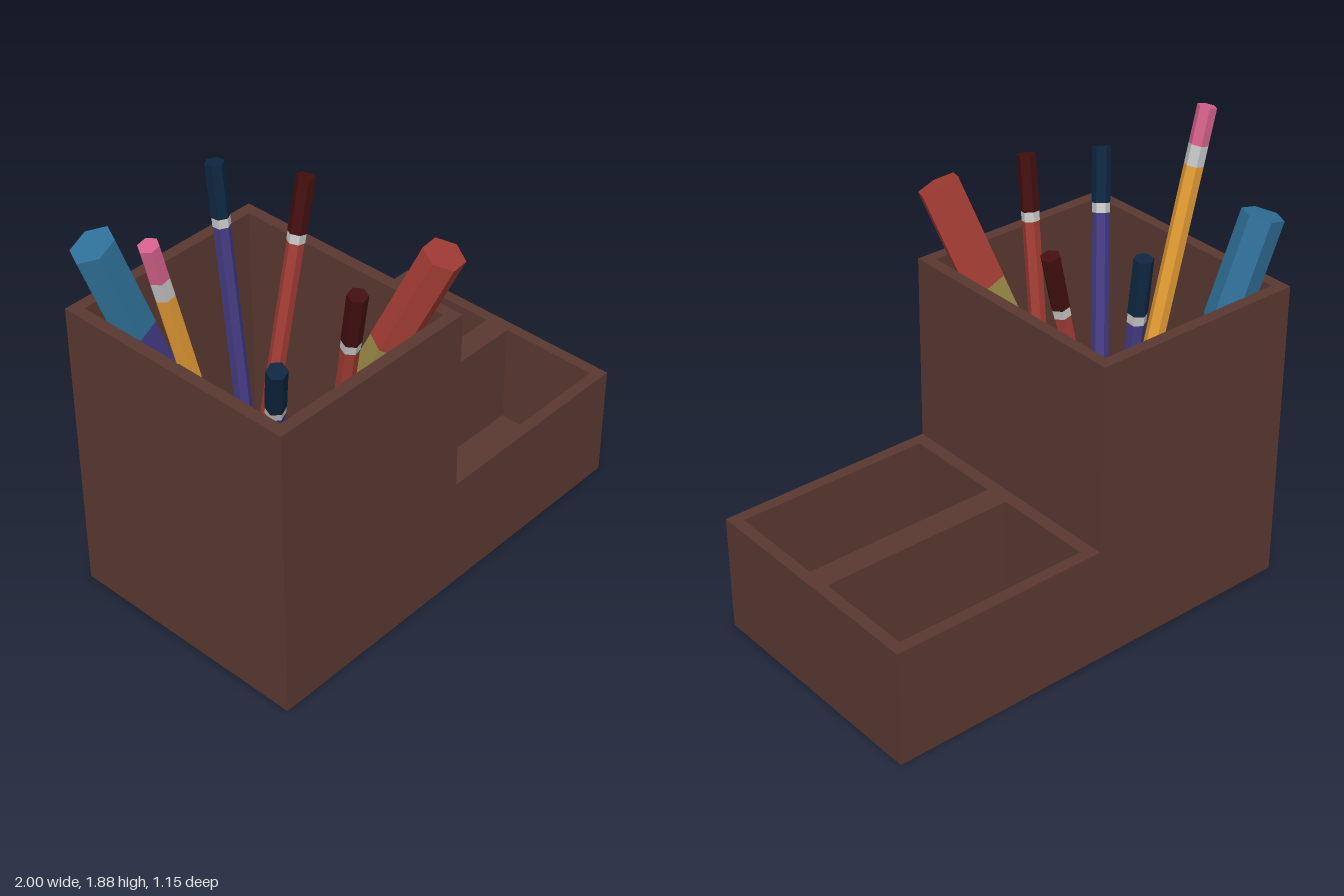
import * as THREE from 'three';

const material = (name, color) => {
  const m = new THREE.MeshStandardMaterial({ color, flatShading: true });
  m.name = name;
  return m;
};

export function createModel() {
  const brown = material('brown', 0x5a3830);
  const pink = material('pink', 0xd5618c);
  const silver = material('silver', 0xc4c4c4);
  const orange = material('orange', 0xe39c34);
  const maroon = material('maroon', 0x420f0f);
  const red = material('red', 0xa23c34);
  const navy = material('navy', 0x0d2740);
  const purple = material('purple', 0x443a82);
  const blue = material('blue', 0x2f7199);
  const olive = material('olive', 0x938443);

  const model = new THREE.Group();
  model.name = 'deskOrganizer';
  const add = (parent, name, geometry, mat) => {
    const mesh = new THREE.Mesh(geometry, mat);
    mesh.name = name;
    parent.add(mesh);
    return mesh;
  };

  // Rectangle traced on the ground plane (shape y is minus z)
  const rectangle = (Type, x0, x1, z0, z1) => new Type([
    new THREE.Vector2(x0, -z1), new THREE.Vector2(x1, -z1),
    new THREE.Vector2(x1, -z0), new THREE.Vector2(x0, -z0),
  ]);

  // Compartment walls standing on the floor slab
  const FLOOR = 0.05, BACK = -0.57, FRONT = 0.52;
  const walls = (name, x0, x1, top, holes) => {
    const shape = rectangle(THREE.Shape, x0, x1, BACK, FRONT);
    shape.holes = holes.map(h => rectangle(THREE.Path, ...h));
    const g = new THREE.ExtrudeGeometry(shape, { depth: top - FLOOR, bevelEnabled: false });
    g.rotateX(-Math.PI / 2).translate(0, FLOOR, 0);
    add(model, name, g, brown);
  };
  const floor = new THREE.BoxGeometry(1.91, FLOOR, FRONT - BACK);
  add(model, 'floor', floor, brown).position.set(0.045, FLOOR / 2, (FRONT + BACK) / 2);
  walls('tallCup', -0.91, 0.04, 1.32, [[-0.86, -0.01, -0.52, 0.47]]);
  walls('lowTrays', 0.04, 1, 0.51, [[0.095, 0.95, -0.52, -0.08], [0.095, 0.95, 0.03, 0.47]]);

  // Six-sided stick leaning from bottom to top; bands run from the top down
  // as [name, material, radius, length], the last one filling what is left
  const stick = (name, bottom, top, bands, spin = Math.PI / 6, depth = 1) => {
    const from = new THREE.Vector3(...bottom);
    const axis = new THREE.Vector3(...top).sub(from);
    const group = new THREE.Group();
    group.name = name;
    group.position.copy(from);
    let y = axis.length();
    for (const [part, mat, radius, length = y] of bands) {
      const g = new THREE.CylinderGeometry(radius, radius, length, 6);
      g.rotateY(Math.PI / 6).scale(1, 1, depth).rotateY(spin);
      add(group, part, g, mat).position.y = y - length / 2;
      y -= length;
    }
    group.quaternion.setFromUnitVectors(new THREE.Vector3(0, 1, 0), axis.normalize());
    model.add(group);
  };

  // Pencil with eraser
  stick('pencil', [-0.51, 0.06, -0.03], [-0.96, 1.87, -0.03], [
    ['eraser', pink, 0.04, 0.155], ['ferrule', silver, 0.04, 0.085], ['pencilBody', orange, 0.04],
  ], 0);

  // Capped pens
  const pen = (name, bottom, top, capColor, bodyColor, spin) => stick(name, bottom, top, [
    ['cap', capColor, 0.039, 0.23], ['ring', silver, 0.037, 0.04], ['penBody', bodyColor, 0.035],
  ], spin);
  pen('purplePenFront', [-0.51, 0.08, 0.04], [-0.87, 1.55, 0.47], navy, purple, 0.3);
  pen('purplePenBack', [-0.2, 0.06, -0.34], [-0.2, 1.65, -0.5], navy, purple);
  pen('redPenFront', [-0.34, 0.06, 0.14], [-0.46, 1.64, 0.46], maroon, red, 0.2);
  pen('redPenBack', [-0.36, 0.06, -0.22], [0, 1.615, -0.22], maroon, red, 0);

  // Thick markers, slightly flattened
  const marker = (name, bottom, top, capColor, bodyColor, spin) => stick(name, bottom, top, [
    ['markerCap', capColor, 0.097, 0.44], ['markerBody', bodyColor, 0.096],
  ], spin, 0.84);
  marker('redMarker', [-0.43, 0.08, -0.1], [-0.05, 1.62, 0.5], red, olive, 0.2);
  marker('blueMarker', [-0.33, 0.08, -0.35], [-0.84, 1.61, -0.47], blue, purple, 0.16);

  return model;
}
